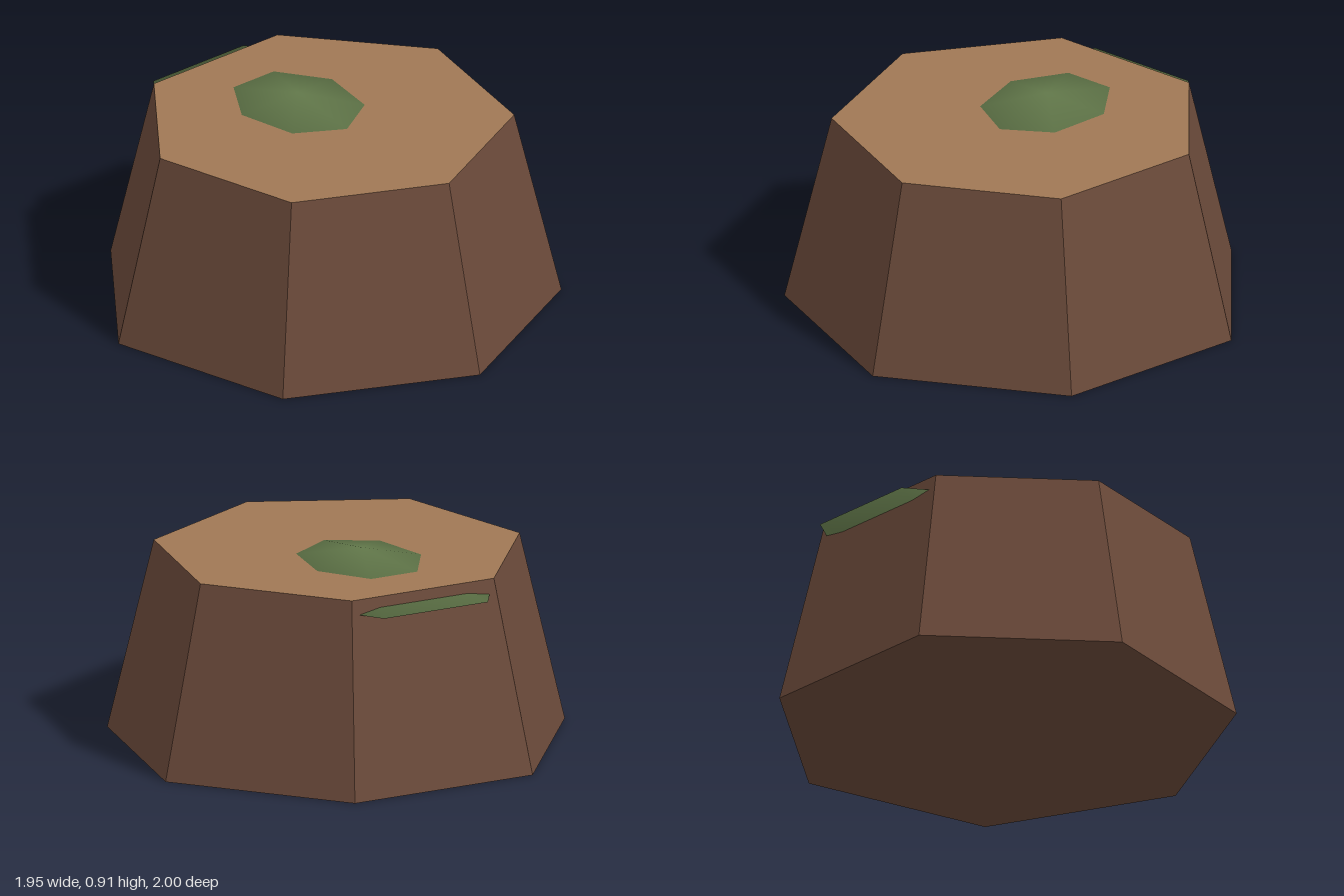
import * as THREE from 'three';

const material = (name, color, flatShading = false) => {
  const m = new THREE.MeshStandardMaterial({ color, flatShading });
  m.name = name;
  return m;
};

export function createModel() {
  const bark = material('bark brown', 0x6b4a3a, true);
  const cutWood = material('cut wood tan', 0xa07855, true);
  const mossGreen = material('moss green', 0x62784a);

  const group = new THREE.Group();
  group.name = 'treeStump';

  // Seven-sided tapered trunk, one corner towards +x, with a pale cut top
  const height = 0.86;
  const trunk = new THREE.Mesh(
    new THREE.CylinderGeometry(0.82, 1.0257, height, 7, 1, false, Math.PI / 2),
    [bark, cutWood, bark]
  );
  trunk.name = 'trunk';
  trunk.position.set(-0.05, height / 2, 0);
  group.add(trunk);

  // Flattened moss clump sunk into the trunk: its peak breaks through the
  // cut top and its rim pokes out of the -x side
  const moss = new THREE.Mesh(new THREE.SphereGeometry(1, 7, 2, Math.PI), mossGreen);
  moss.name = 'moss';
  moss.scale.set(0.738, 0.117, 0.6);
  moss.position.set(-0.24, 0.795, 0);
  group.add(moss);

  return group;
}
